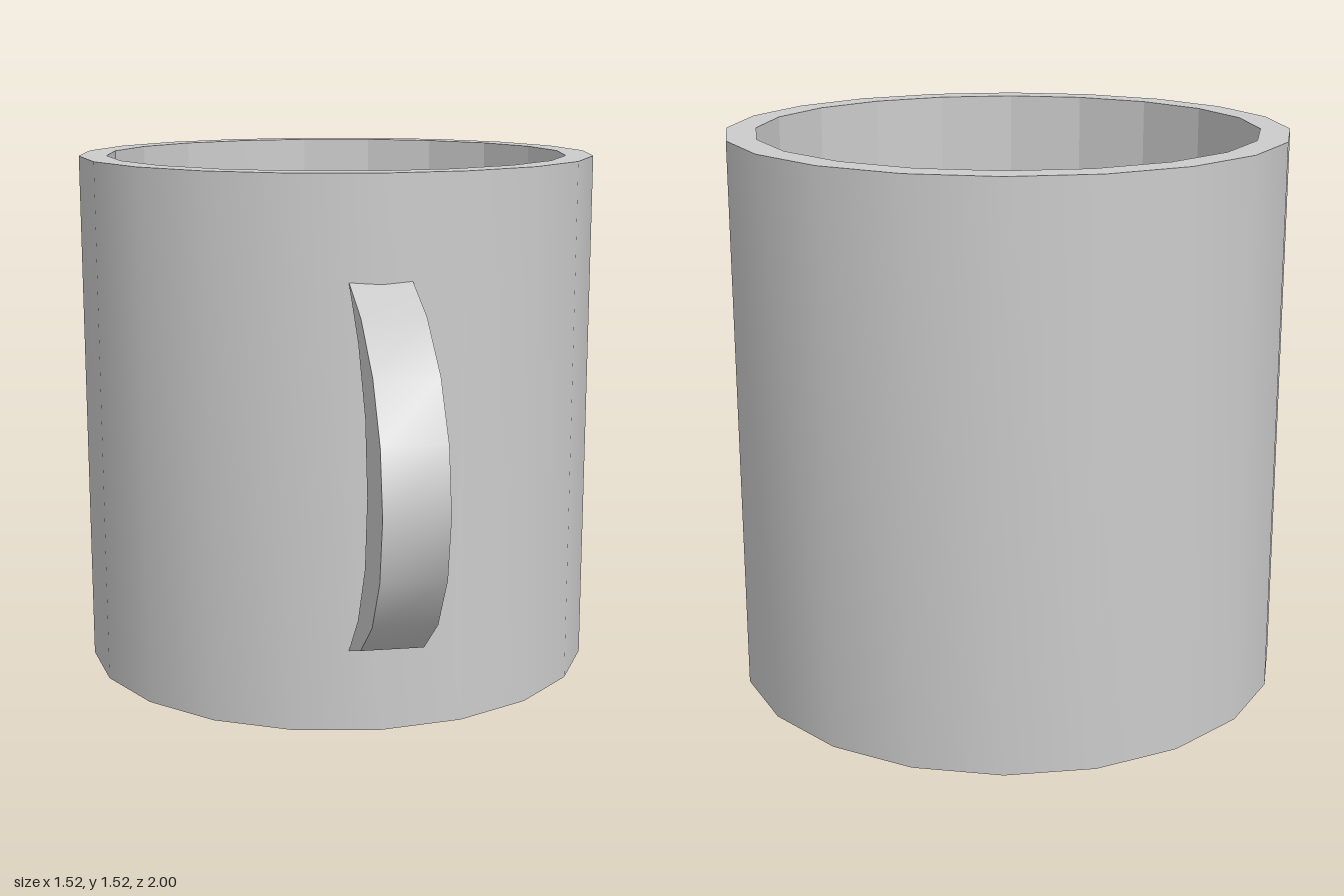
import * as THREE from 'three';
import { toCreasedNormals } from 'three/addons/utils/BufferGeometryUtils.js';

const SIDES = 20, HEIGHT = 1.525, OUTER = 0.76, INNER = 0.68, CENTRE_Z = -0.24;
const FLOOR = 0.1, RECESS = 0.055;
const HANDLE_WIDTH = 0.17, HANDLE_Y = 0.735;

const grey = new THREE.MeshStandardMaterial({ color: 0xcccccc });

function part(name, geometry, crease) {
  const mesh = new THREE.Mesh(toCreasedNormals(geometry, crease), grey);
  mesh.name = name;
  return mesh;
}

// Twenty-sided revolved surface from [radius, height] pairs
function lathe(profile) {
  return new THREE.LatheGeometry(profile.map(([r, y]) => new THREE.Vector2(r, y)), SIDES);
}

export function createModel() {
  const model = new THREE.Group();
  model.name = 'mug';

  // Cup: smooth outer wall, faceted inner wall, recessed base
  const cup = new THREE.Group();
  cup.name = 'cup';
  cup.position.z = CENTRE_Z;
  cup.add(
    part('outerWall', lathe([[INNER, 0], [OUTER, 0], [OUTER, HEIGHT], [INNER, HEIGHT]]), 0.6),
    part('innerWall', lathe([[INNER, HEIGHT], [INNER, FLOOR], [0, FLOOR]]), 0.1),
    part('base', lathe([[0, RECESS], [INNER, RECESS], [INNER, 0]]), 0.1),
  );
  model.add(cup);

  // Handle: crescent outline in [z, height above its middle], mirrored top to bottom
  const mirrored = (half) => [...half, ...half.slice(0, -1).reverse().map(([z, y]) => [z, -y])];
  const outer = mirrored([[0.5, 0.508], [0.69, 0.44], [0.86, 0.32], [0.965, 0.17], [1, 0]]);
  const inner = mirrored([[0.65, 0.37], [0.755, 0.197], [0.787, 0]]).reverse();
  const outline = new THREE.Shape([...outer, ...inner].map(([z, y]) => new THREE.Vector2(z, y)));
  const handleGeometry = new THREE.ExtrudeGeometry(outline, { depth: HANDLE_WIDTH, bevelEnabled: false });
  handleGeometry.translate(0, HANDLE_Y, -HANDLE_WIDTH / 2).rotateY(-Math.PI / 2);
  model.add(part('handle', handleGeometry, 0.6));

  return model;
}
